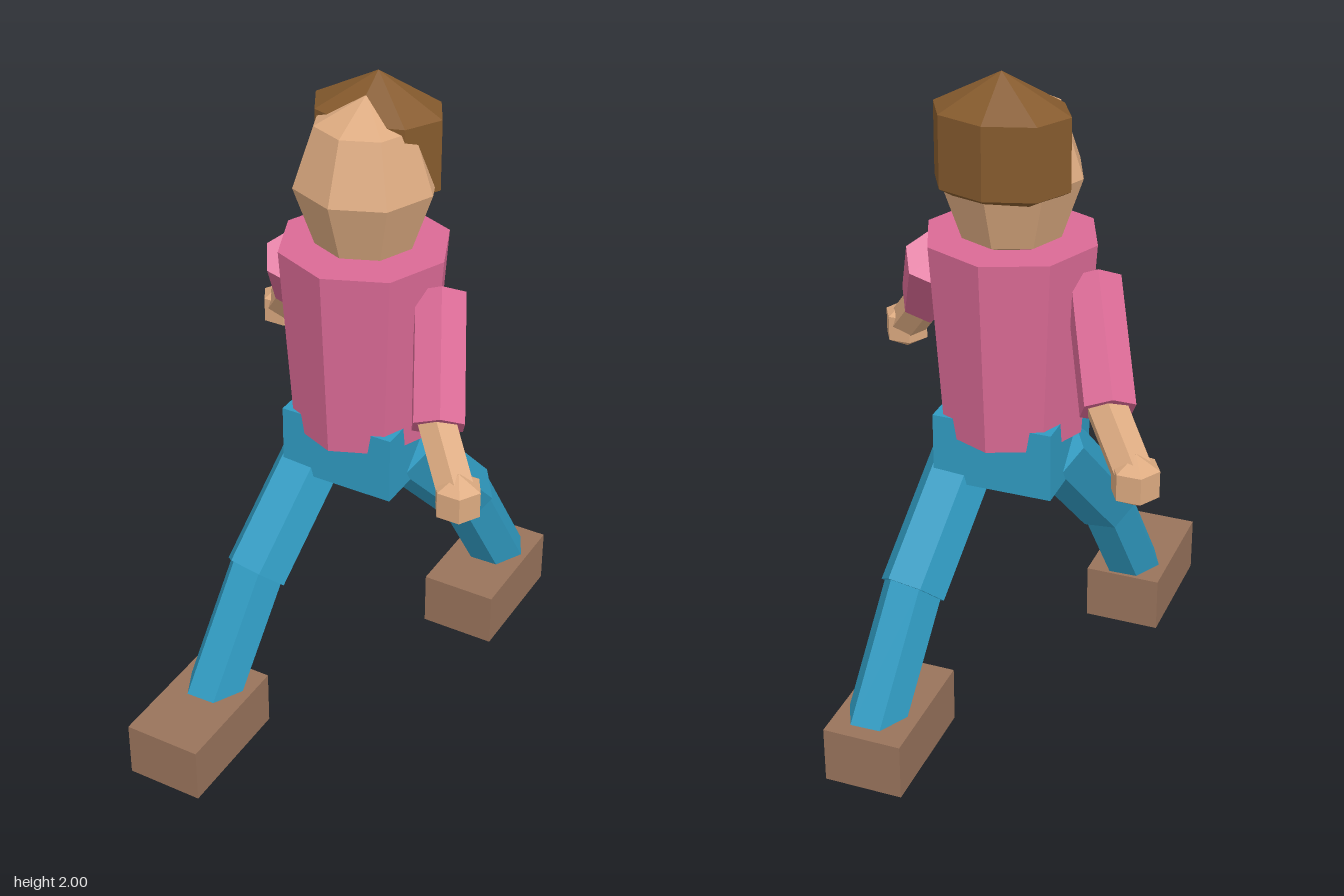
import * as THREE from 'three';

const mat = (name, color) => {
  const m = new THREE.MeshStandardMaterial({ color });
  m.name = name;
  return m;
};

// Faceted copy of a geometry
function faceted(geometry) {
  const g = geometry.index ? geometry.toNonIndexed() : geometry;
  g.computeVertexNormals();
  return g;
}

export function createModel() {
  const skin = mat('skin', 0xdcaa80);
  const shirt = mat('shirt pink', 0xda6a95);
  const trousers = mat('trouser blue', 0x309bc2);
  const hairBrown = mat('hair brown', 0x855a2d);
  const shoeBrown = mat('shoe brown', 0x98735b);

  const model = new THREE.Group();
  model.name = 'walkingFigure';
  const midZ = -0.08; // body axis

  const add = (parent, name, geometry, material, x, y, z) => {
    const mesh = new THREE.Mesh(faceted(geometry), material);
    mesh.name = name;
    mesh.position.set(x, y, z);
    parent.add(mesh);
    return mesh;
  };

  // Six-sided limb piece between two points
  const limb = (parent, name, a, b, radius, material) => {
    const from = new THREE.Vector3(...a), to = new THREE.Vector3(...b);
    const dir = to.clone().sub(from);
    const g = new THREE.CylinderGeometry(radius, radius, dir.length(), 6).rotateY(Math.PI / 2);
    const c = from.clone().add(to).multiplyScalar(0.5);
    const mesh = add(parent, name, g, material, c.x, c.y, c.z);
    mesh.quaternion.setFromUnitVectors(new THREE.Vector3(0, -1, 0), dir.normalize());
  };

  // Torso and hips
  add(model, 'torso', new THREE.CylinderGeometry(0.252, 0.212, 0.59, 8), shirt, 0, 1.215, midZ);
  add(model, 'hips', new THREE.BoxGeometry(0.36, 0.21, 0.336), trousers, 0, 0.88, midZ);

  // Head and hair
  add(model, 'head', new THREE.SphereGeometry(0.21, 8, 4).scale(1, 1.2, 1), skin, 0, 1.7, -0.085);
  add(model, 'hair', new THREE.SphereGeometry(1, 8, 3).scale(0.229, 0.21, 0.173), hairBrown, 0, 1.79, -0.153);

  // Arms and legs: the right side is the left side turned half round the body axis
  for (const side of ['left', 'right']) {
    const half = new THREE.Group();
    half.name = side + 'Limbs';
    half.position.z = midZ;
    if (side === 'right') half.rotation.y = Math.PI;
    model.add(half);

    // Arm
    limb(half, side + 'UpperArm', [0.24, 1.398, -0.005], [0.372, 1.144, 0.247], 0.082, shirt);
    limb(half, side + 'Forearm', [0.36, 1.16, 0.237], [0.482, 1.0, 0.335], 0.06, skin);
    const hand = new THREE.SphereGeometry(0.079, 6, 3);
    add(half, side + 'Hand', hand, skin, 0.482, 1.0, 0.335);

    // Leg
    limb(half, side + 'Thigh', [0.122, 0.86, 0], [0.18, 0.496, -0.34], 0.101, trousers);
    limb(half, side + 'Shin', [0.178, 0.52, -0.325], [0.226, 0.12, -0.547], 0.09, trousers);
  }

  // Shoes
  for (const s of [1, -1]) {
    add(model, s > 0 ? 'leftShoe' : 'rightShoe', new THREE.BoxGeometry(0.238, 0.176, 0.4),
      shoeBrown, s * 0.215 - 0.004, 0.088, s * -0.535);
  }

  return model;
}
